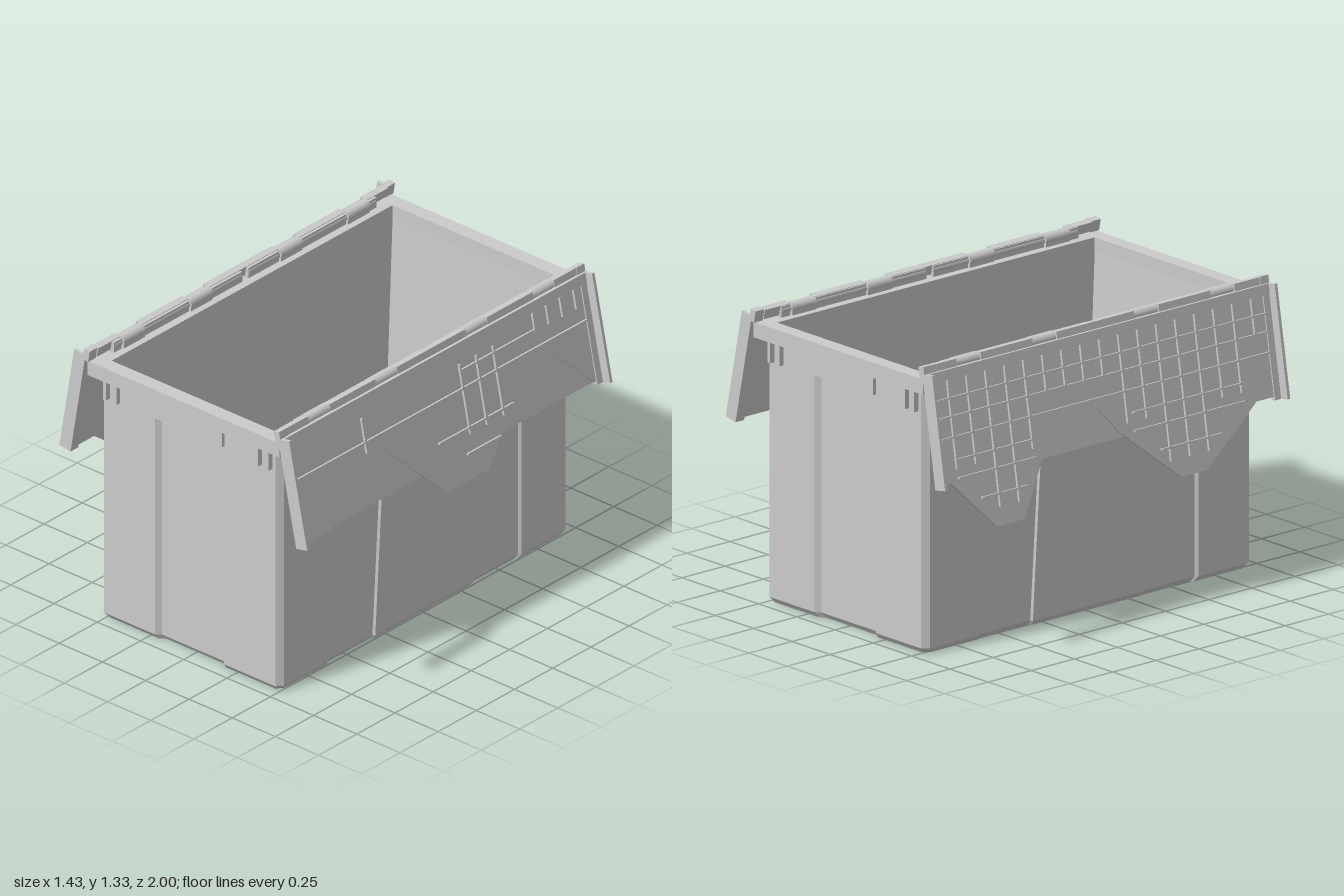
import * as THREE from 'three';

const CX = -0.01; // tub centre in x
const mat = new THREE.MeshStandardMaterial({ color: 0xcccccc, side: THREE.DoubleSide });

function add(parent, name, geo, x = 0, y = 0, z = 0) {
  const m = new THREE.Mesh(geo, mat);
  m.name = name;
  m.position.set(x, y, z);
  parent.add(m);
  return m;
}

// box given by its min and max along each axis
function block(parent, name, [x0, x1], [y0, y1], [z0, z1]) {
  return add(parent, name, new THREE.BoxGeometry(x1 - x0, y1 - y0, Math.abs(z1 - z0)),
    (x0 + x1) / 2, (y0 + y1) / 2, (z0 + z1) / 2);
}

const toShape = pts => new THREE.Shape(pts.map(p => new THREE.Vector2(p[0], p[1])));

// extrude a plan (x, z) upward from y = 0
function upright(shape, height) {
  return new THREE.ExtrudeGeometry(shape, { depth: height, bevelEnabled: false }).rotateX(-Math.PI / 2);
}

// move every vertex by a rule
function warp(geo, rule) {
  const p = geo.attributes.position, v = new THREE.Vector3();
  for (let i = 0; i < p.count; i++) {
    v.fromBufferAttribute(p, i);
    rule(v);
    p.setXYZ(i, v.x, v.y, v.z);
  }
  geo.computeVertexNormals();
  return geo;
}

const rect = (w, d) => [[-w, -d], [w, -d], [w, d], [-w, d]];

// plan outline with chamfered corners and recessed panels
function tubOutline() {
  const q = [[0.52, 0], [0.52, 0.325], [0.508, 0.33], [0.508, 0.625], [0.52, 0.635], [0.52, 0.92],
    [0.495, 0.95], [0.2, 0.95], [0.178, 0.93]];
  const m = q.slice(1);
  return [
    ...q,
    ...m.map(([x, z]) => [-x, z]).reverse(),
    ...m.map(([x, z]) => [-x, -z]),
    ...m.map(([x, z]) => [x, -z]).reverse(),
  ];
}

function addTub(root) {
  const tub = new THREE.Group();
  tub.name = 'tub';
  tub.position.x = CX;
  root.add(tub);

  // walls: side panels flare downward, end walls slope inward inside
  const ring = toShape(tubOutline());
  ring.holes.push(new THREE.Path(rect(0.478, 0.92).map(p => new THREE.Vector2(...p))));
  const taper = v => {
    const az = Math.abs(v.z), ax = Math.abs(v.x);
    if (ax > 0.5 && az > 0.3 && az < 0.4) v.z -= Math.sign(v.z) * 0.075 * (v.y + 0.025) / 1.2;
    else if (ax < 0.48 && az < 0.925 && v.y < 0.5) v.z *= 0.87 / 0.92;
  };
  add(tub, 'walls', warp(upright(ring, 1.18), taper), 0, 0.025, 0);

  // floor with tapered underside
  add(tub, 'floor', warp(upright(toShape(tubOutline()), 0.025), v => {
    if (v.y < 0.01) { v.x *= 0.965; v.z *= 0.98; }
  }));

  // rim frame
  const rim = toShape(rect(0.555, 0.99));
  rim.holes.push(new THREE.Path(rect(0.478, 0.92).map(p => new THREE.Vector2(...p))));
  add(tub, 'rim', upright(rim, 0.07), 0, 1.2, 0);

  // end grips and short ribs beneath the rim
  for (const s of [1, -1]) {
    block(tub, 'endGrip', [-0.2, 0.2], [1.11, 1.2], [s * 0.925, s * 0.965]);
    for (const x of [-0.47, -0.41, 0.41, 0.47])
      block(tub, 'rimRib', [x - 0.008, x + 0.008], [1.1, 1.2], [s * 0.945, s * 0.975]);
  }
}

// hinge rods and knuckles along one long side
function addHinge(root, s) {
  const hinge = new THREE.Group();
  hinge.name = 'hinge';
  hinge.position.set(CX + s * 0.533, 1.3, 0);
  root.add(hinge);
  const rod = (name, r, len, z, sides) => add(hinge, name,
    new THREE.CylinderGeometry(r, r, len, sides).rotateX(Math.PI / 2), 0, 0, z);
  for (const e of [1, -1]) {
    rod('hingeRod', 0.019, 0.83, e * 0.44, 12);
    for (const z of [0.735, 0.295]) {
      rod('hingeKnuckle', 0.027, 0.14, e * z, 16);
      block(hinge, 'knuckleFoot', [-0.024, 0.024], [-0.035, 0], [e * (z - 0.07), e * (z + 0.07)]);
    }
    for (const [a, b] of [[0.02, 0.22], [0.37, 0.66], [0.81, 0.86]])
      block(hinge, 'hingeSaddle', [-0.016, 0.016], [-0.035, 0.02], [e * a, e * b]);
  }
}

// one hanging lid half; local +x points outward, local y runs along the sheet
function addLid(root, s, spec) {
  const turn = new THREE.Group();
  turn.name = s > 0 ? 'leftLid' : 'rightLid';
  turn.rotation.y = s > 0 ? 0 : Math.PI;
  root.add(turn);
  const lid = new THREE.Group();
  lid.name = 'lidPanel';
  lid.position.set(spec.x, 1.295, 0);
  lid.rotation.z = spec.tilt;
  turn.add(lid);
  const v = y => (y - 1.295) / Math.cos(spec.tilt);

  // plate with its outline in (z, height), between two depths
  const plate = (name, pts, x0, x1) => {
    const shape = toShape(pts.map(([z, y]) => [s * z, v(y)]));
    const g = new THREE.ExtrudeGeometry(shape, { depth: x1 - x0, bevelEnabled: false });
    add(lid, name, g.rotateY(-Math.PI / 2), x1);
  };
  plate('lidSheet', [[-0.99, 1.295], [0.99, 1.295], [0.99, 0.805], [-0.99, 0.805]], 0, 0.008);
  plate('toothedLayer', [[-0.985, 1.29], [0.985, 1.29], ...spec.teeth], 0.004, 0.016);

  // ribs: [z0, z1, y0, y1]
  for (const [z0, z1, y0, y1] of spec.ribs)
    block(lid, 'rib', [0.01, 0.027], [v(y0), v(y1)], [s * z0, s * z1]);

  // top rail, end flanges and hinge lips
  block(lid, 'topRail', [0, 0.025], [v(1.25), 0], [-0.99, 0.99]);
  for (const e of [1, -1]) {
    block(lid, 'endFlange', [0, 0.065], [v(0.79), 0], [e * 0.985, e]);
    block(lid, 'endBorder', [0, 0.022], [v(0.79), 0], [e * 0.95, e * 0.99]);
    block(lid, 'cornerLip', [-0.02, 0.012], [-0.02, 0.035], [e * 0.95, e]);
    for (const [a, b] of [[0, 0.225], [0.365, 0.665], [0.805, 0.95]])
      block(lid, 'hingeLip', [-0.025, 0.008], [-0.012, 0.033], [e * a, e * b]);
    block(lid, 'innerCatch', [-0.022, 0], [v(1.14), v(1.095)], [e * 0.55, e * 0.62]);
  }
}

export function createModel() {
  const root = new THREE.Group();
  root.name = 'toteBox';
  addTub(root);
  addHinge(root, 1);
  addHinge(root, -1);

  const across = (z0, z1, y) => [z0, z1, y - 0.004, y + 0.004];
  const along = (z, y0, y1) => [z - 0.005, z + 0.005, y0, y1];

  // single-tooth lid with few ribs
  addLid(root, 1, {
    x: 0.545, tilt: 0.205,
    teeth: [[0.985, 0.795], [0.78, 0.795], [0.57, 1.015], [0.39, 1.015], [0.06, 0.685], [-0.22, 0.685],
      [-0.54, 1.015], [-0.73, 1.015], [-0.94, 0.805], [-0.985, 0.805]],
    ribs: [across(-0.95, 0.95, 1.09), across(-0.63, -0.14, 1.17), across(-0.43, 0.06, 0.91),
      across(-0.32, -0.1, 0.8), along(0.5, 1.04, 1.2),
      ...[-0.14, -0.25, -0.36].map(z => along(z, 0.88, 1.2)),
      ...[-0.63, -0.72, -0.81, -0.9].map(z => along(z, 1.16, 1.25))],
  });

  // two-tooth lid with a full rib grid
  const ribs = [1.17, 1.09, 1.0].map(y => across(-0.95, 0.95, y));
  for (const [a, b] of [[-0.88, -0.43], [0.14, 0.78]])
    for (const y of [0.9, 0.82]) ribs.push(across(a, b, y));
  for (const [a, b] of [[-0.76, -0.49], [0.28, 0.63]]) ribs.push(across(a, b, 0.71));
  for (let i = 0; i < 17; i++) {
    const z = -0.88 + i * 0.11;
    const inTooth = (z > -0.75 && z < -0.48) || (z > 0.3 && z < 0.6);
    const nearTooth = z < -0.42 || (z > 0.1 && z < 0.8);
    ribs.push(along(z, inTooth ? 0.65 : nearTooth ? 0.86 : 1.09, 1.25));
  }
  addLid(root, -1, {
    x: 0.57, tilt: 0.167,
    teeth: [[0.985, 0.805], [0.85, 0.805], [0.53, 0.57], [0.38, 0.57], [0.06, 0.83], [-0.05, 0.96],
      [-0.26, 0.96], [-0.4, 0.79], [-0.53, 0.57], [-0.69, 0.57], [-0.92, 0.805], [-0.985, 0.805]],
    ribs,
  });
  return root;
}
